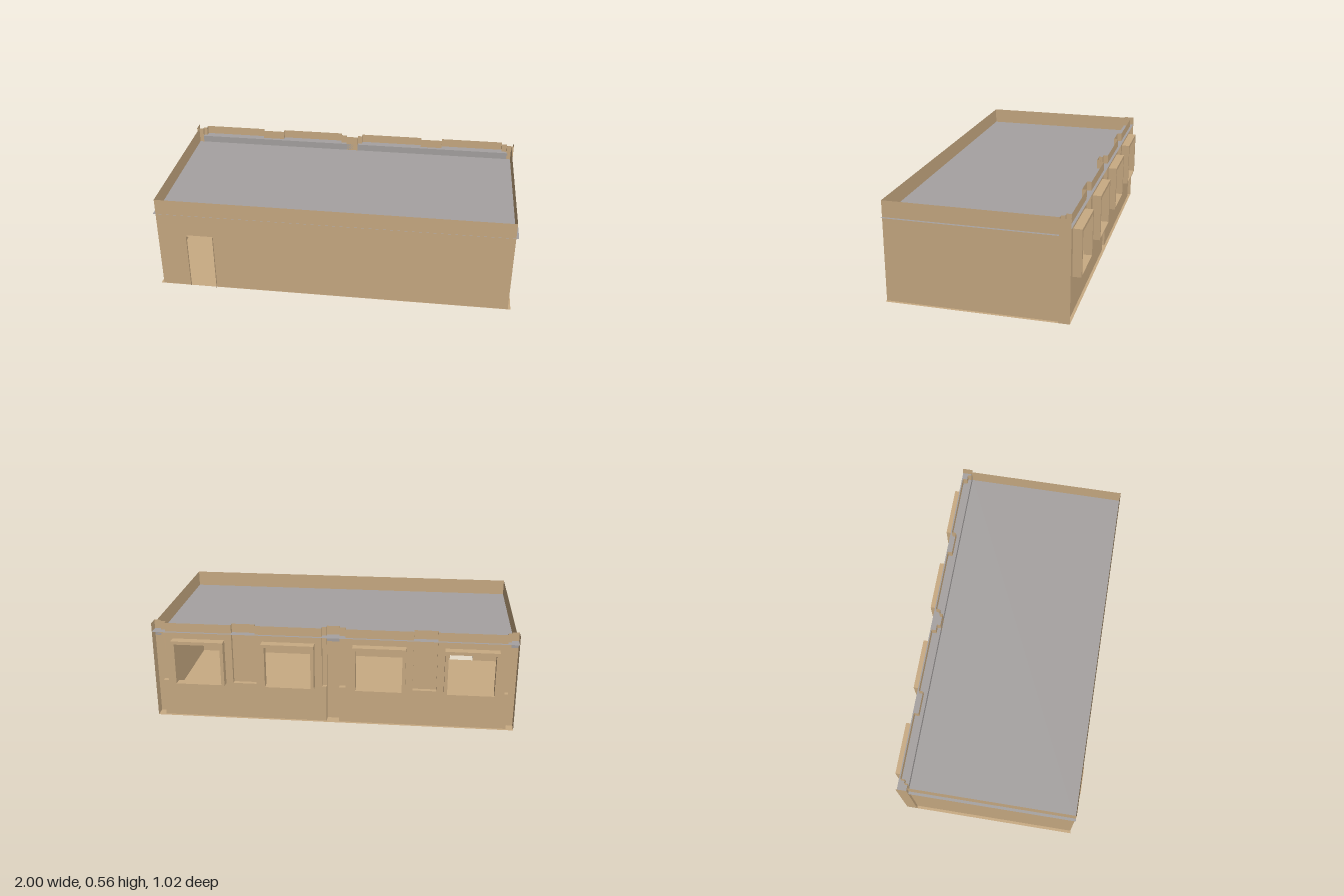
import * as THREE from 'three';

export function createModel() {
  const model = new THREE.Group();
  const tan = new THREE.MeshStandardMaterial({ color: 0xc9ab83, side: THREE.DoubleSide });
  tan.name = 'tan plaster';
  const grey = new THREE.MeshStandardMaterial({ color: 0xa6a2a1, side: THREE.DoubleSide });
  grey.name = 'grey roofing';

  const H = 0.555, SILL = 0.21, ROOF = 0.465, STRIP = 0.505;
  const FACE = -0.465, NICHE = -0.44, DEEP = -0.42, BACK = -0.48, FRONT = 0.498;

  function add(name, geometry, material, parent = model) {
    const mesh = new THREE.Mesh(geometry, material);
    mesh.name = name;
    parent.add(mesh);
    return mesh;
  }
  // Upright sheet between two plan points
  function wall(name, x0, z0, x1, z1, y0 = 0, y1 = H, material = tan, parent = model) {
    const g = new THREE.PlaneGeometry(Math.hypot(x1 - x0, z1 - z0), y1 - y0);
    g.rotateY(-Math.atan2(z1 - z0, x1 - x0));
    g.translate((x0 + x1) / 2, (y0 + y1) / 2, (z0 + z1) / 2);
    return add(name, g, material, parent);
  }
  // Level sheet
  function deck(name, x0, x1, z0, z1, y, material, parent = model) {
    const g = new THREE.PlaneGeometry(x1 - x0, z1 - z0).rotateX(-Math.PI / 2);
    g.translate((x0 + x1) / 2, y, (z0 + z1) / 2);
    return add(name, g, material, parent);
  }
  function rect(Type, x0, x1, y0, y1) {
    const s = new Type();
    s.moveTo(x0, y0).lineTo(x1, y0).lineTo(x1, y1).lineTo(x0, y1).closePath();
    return s;
  }

  // Floor and stepped roof
  deck('floor', -1, 1, BACK, 0.5, 0, tan);
  deck('roof', -1, 1, DEEP, 0.5, ROOF, grey);
  deck('raisedRoofStrip', -1, 1, BACK, DEEP, STRIP, grey);
  wall('roofStep', -1, DEEP, 1, DEEP, ROOF, STRIP, grey);

  // Front wall with doorway
  const D0 = -0.82, D1 = -0.67, DH = 0.338;
  const front = new THREE.Shape();
  front.moveTo(-0.985, 0).lineTo(D0, 0).lineTo(D0, DH).lineTo(D1, DH).lineTo(D1, 0);
  front.lineTo(0.985, 0).lineTo(0.985, H).lineTo(-0.985, H).closePath();
  add('frontWall', new THREE.ShapeGeometry(front).translate(0, 0, FRONT), tan);

  // Doorway lining
  for (const x of [D0, D1]) wall('doorJamb', x, FRONT, x, 0.512, 0, DH);
  deck('doorHead', D0, D1, FRONT, 0.512, DH, tan);

  // Side walls with rear corner pilasters
  for (const s of [-1, 1]) {
    wall('sideWall', s * 0.985, FRONT, s * 0.985, DEEP);
    wall('cornerReturn', s * 0.985, DEEP, s, DEEP);
    wall('cornerPilaster', s, DEEP, s, BACK);
    wall('cornerRecess', s * 0.96, DEEP, s * 0.985, DEEP);
  }
  wall('centreRecess', -0.035, DEEP, 0.035, DEEP);

  // Rear facade: two bays, each a low band with two window panels above
  for (const [b0, b1, centres] of [[-0.96, -0.035, [-0.755, -0.255]], [0.035, 0.96, [0.245, 0.745]]]) {
    const bay = new THREE.Group();
    bay.name = 'rearBay';
    model.add(bay);
    wall('lowBand', b0, FACE, b1, FACE, 0, SILL, tan, bay);
    wall('nicheBack', b0, NICHE, centres[0] - 0.185, NICHE, SILL, H, tan, bay);
    wall('nicheBack', centres[0] + 0.185, NICHE, centres[1] - 0.185, NICHE, SILL, H, tan, bay);
    wall('nicheBack', centres[1] + 0.185, NICHE, b1, NICHE, SILL, H, tan, bay);
    const ledges = [b0, centres[0] - 0.185, centres[0] + 0.185, centres[1] - 0.185, centres[1] + 0.185, b1];
    for (let i = 0; i < 6; i += 2) deck('nicheLedge', ledges[i], ledges[i + 1], FACE, NICHE, SILL, tan, bay);
    for (const x of [b0, b1]) {
      wall('bayEnd', x, NICHE, x, DEEP, 0, H, tan, bay);
      wall('bandEnd', x, FACE, x, NICHE, 0, SILL, tan, bay);
    }

    for (const c of centres) {
      // Panel with window opening
      const panel = rect(THREE.Shape, c - 0.185, c + 0.185, SILL, H);
      panel.holes.push(rect(THREE.Path, c - 0.127, c + 0.127, SILL + 0.004, 0.447));
      add('windowPanel', new THREE.ShapeGeometry(panel).translate(0, 0, FACE), tan, bay);
      for (const s of [-1, 1]) {
        wall('panelEdge', c + s * 0.185, FACE, c + s * 0.185, NICHE, SILL, H, tan, bay);
      }
      // Projecting window frame
      const frame = rect(THREE.Shape, c - 0.145, c + 0.145, 0.208, 0.465);
      frame.holes.push(rect(THREE.Path, c - 0.127, c + 0.127, SILL + 0.004, 0.447));
      const g = new THREE.ExtrudeGeometry(frame, { depth: 0.047, bevelEnabled: false });
      add('windowFrame', g.translate(0, 0, -0.512), tan, bay);
    }
  }
  return model;
}
